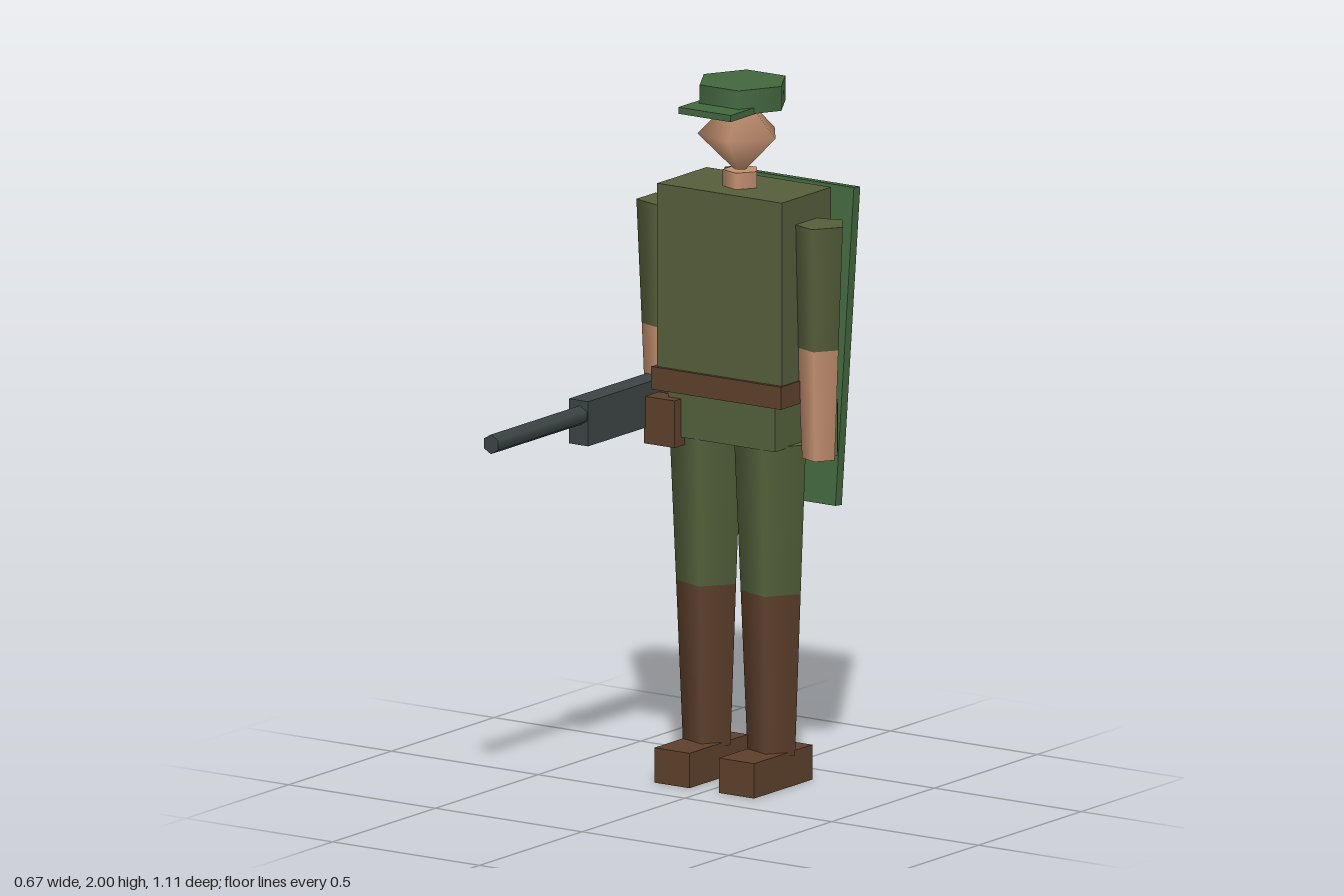
import * as THREE from 'three';

const mat = (name, color) => {
  const m = new THREE.MeshStandardMaterial({ color });
  m.name = name;
  return m;
};

export function createModel() {
  const model = new THREE.Group();
  model.name = 'soldier';

  const shirt = mat('olive shirt', 0x555e3a);
  const trousers = mat('olive trousers', 0x53613b);
  const green = mat('cap green', 0x42673e);
  const skin = mat('skin', 0xc39070);
  const leather = mat('brown leather', 0x5e402c);
  const metal = mat('dark metal', 0x3c4444);

  const add = (name, geometry, material, x, y, z) => {
    const mesh = new THREE.Mesh(geometry, material);
    mesh.name = name;
    mesh.position.set(x, y, z);
    model.add(mesh);
    return mesh;
  };

  // box given by its limits on each axis
  const box = (name, material, [x0, x1], [y0, y1], [z0, z1]) =>
    add(name, new THREE.BoxGeometry(x1 - x0, y1 - y0, z1 - z0), material,
      (x0 + x1) / 2, (y0 + y1) / 2, (z0 + z1) / 2);

  // upright tapered prism with one corner on +x
  const prism = (name, material, x, z, y0, y1, r0, r1, sides = 5) => {
    const g = new THREE.CylinderGeometry(r1, r0, y1 - y0, sides);
    g.rotateY(Math.PI / 2);
    return add(name, g, material, x, (y0 + y1) / 2, z);
  };

  // cap
  prism('cap', green, -0.01, -0.295, 1.93, 2.0, 0.132, 0.132, 6);
  box('capBrim', green, [-0.098, 0.08], [1.928, 1.947], [-0.27, -0.108]);

  // head and neck
  const head = new THREE.SphereGeometry(0.12, 5, 2);
  head.rotateY(Math.PI);
  add('head', head, skin, -0.012, 1.85, -0.287);
  prism('neck', skin, -0.008, -0.287, 1.69, 1.747, 0.053, 0.053);

  // body
  box('torso', shirt, [-0.217, 0.208], [1.14, 1.7], [-0.415, -0.175]);
  box('hips', trousers, [-0.185, 0.178], [0.98, 1.14], [-0.4, -0.185]);
  box('belt', leather, [-0.23, 0.212], [1.11, 1.175], [-0.426, -0.164]);
  box('holster', leather, [-0.247, -0.143], [0.955, 1.09], [-0.22, -0.153]);
  const pouch = add('beltPouch', new THREE.BoxGeometry(0.1, 0.14, 0.06), trousers, 0.232, 1.025, -0.36);
  pouch.rotation.y = -0.98;

  // arms: sleeve above, bare forearm below
  for (const [side, x] of [['left', 0.255], ['right', -0.275]]) {
    prism(side + 'Sleeve', shirt, x, -0.293, 1.27, 1.625, 0.063, 0.078);
    prism(side + 'Forearm', skin, x, -0.293, 0.953, 1.27, 0.05, 0.063);
  }

  // legs, boots and shoes
  for (const [side, x] of [['left', 0.1], ['right', -0.12]]) {
    prism(side + 'Leg', trousers, x, -0.289, 0.555, 0.985, 0.092, 0.11);
    prism(side + 'Boot', leather, x, -0.289, 0.09, 0.555, 0.073, 0.092);
    box(side + 'Shoe', leather, [x - 0.059, x + 0.061], [0, 0.1], [-0.39, -0.107]);
  }

  // gun held in the right hand
  box('gunBody', metal, [-0.308, -0.242], [1.0, 1.128], [-0.335, 0.125]);
  const barrel = new THREE.CylinderGeometry(0.028, 0.028, 0.44, 6);
  barrel.rotateX(Math.PI / 2);
  add('gunBarrel', barrel, metal, -0.271, 1.085, 0.337);

  // tilted panel on the back
  const panel = add('backPanel', new THREE.BoxGeometry(0.44, 0.9, 0.031), green, -0.01, 1.229, -0.493);
  panel.rotation.x = -0.1;

  return model;
}
